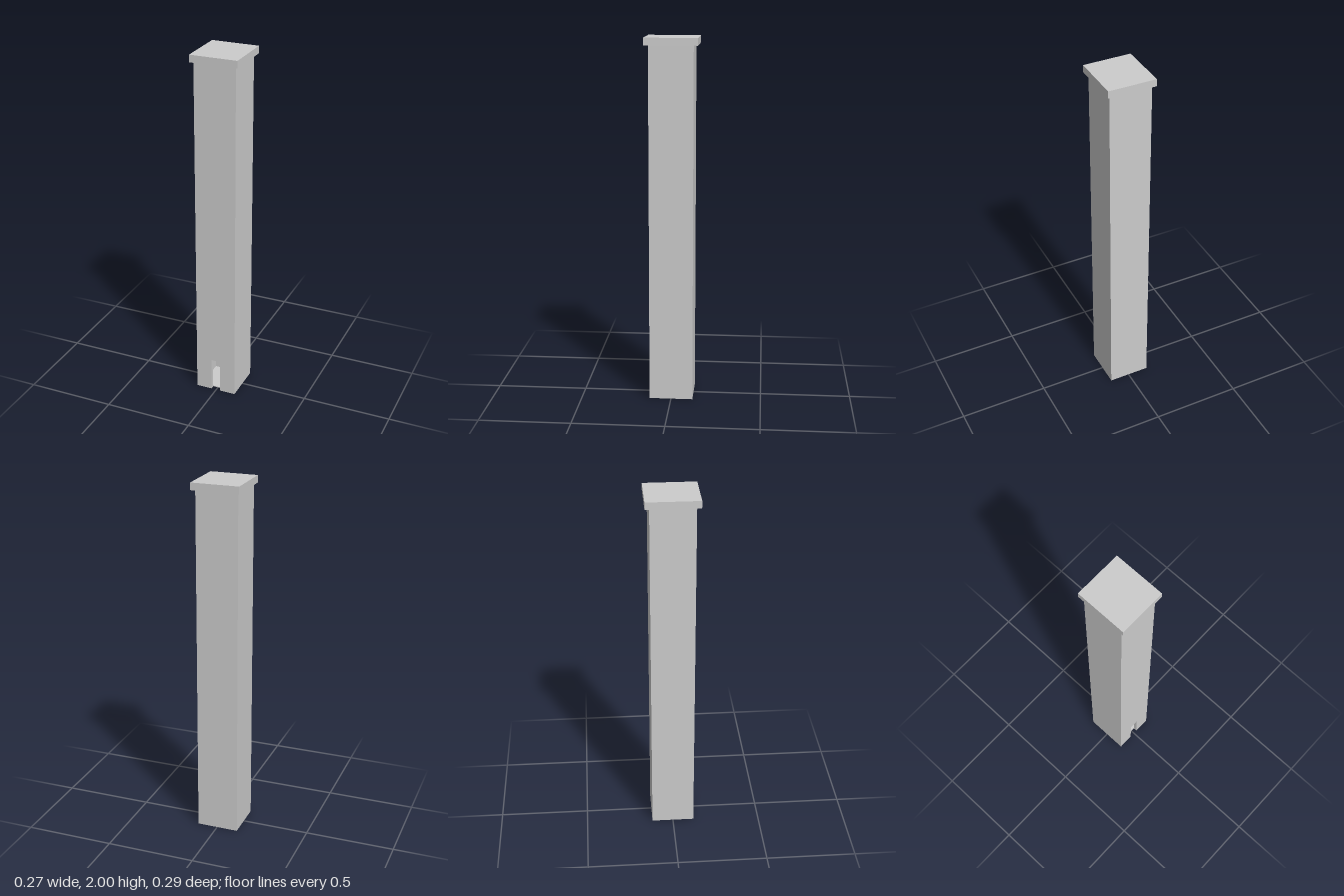
import * as THREE from 'three';

export function createModel() {
  const model = new THREE.Group();
  const material = new THREE.MeshStandardMaterial({ color: 0xcccccc, flatShading: true });

  const left = -0.12, right = 0.115, depth = 0.24; // shaft footprint
  const height = 1.96, wall = 0.022;
  const midX = (left + right) / 2, width = right - left;

  function add(name, geometry, x, y, z) {
    const mesh = new THREE.Mesh(geometry, material);
    mesh.name = name;
    mesh.position.set(x, y, z);
    model.add(mesh);
  }
  const box = (name, w, h, d, x, y, z) => add(name, new THREE.BoxGeometry(w, h, d), x, y, z);

  // Front wall, notched at the foot for the doorway
  const front = new THREE.Shape([
    [left, 0], [-0.03, 0], [-0.03, 0.195], [0.023, 0.195],
    [0.023, 0], [right, 0], [right, height], [left, height],
  ].map(([x, y]) => new THREE.Vector2(x, y)));
  add('frontWall', new THREE.ExtrudeGeometry(front, { depth: wall, bevelEnabled: false }),
    0, 0, depth / 2 - wall);

  // Back and side walls around the hollow shaft
  box('backWall', width, height, wall, midX, height / 2, -depth / 2 + wall / 2);
  for (const [name, x] of [['leftWall', right - wall / 2], ['rightWall', left + wall / 2]]) {
    box(name, wall, height, depth - 2 * wall, x, height / 2, 0);
  }

  // Thin floor inside the walls
  box('floor', width - 2 * wall, 0.004, depth - 2 * wall, midX, 0.004, 0);

  // Overhanging cap slab
  box('cap', 0.266, 2 - height, 0.287, 0, (2 + height) / 2, 0);

  return model;
}
